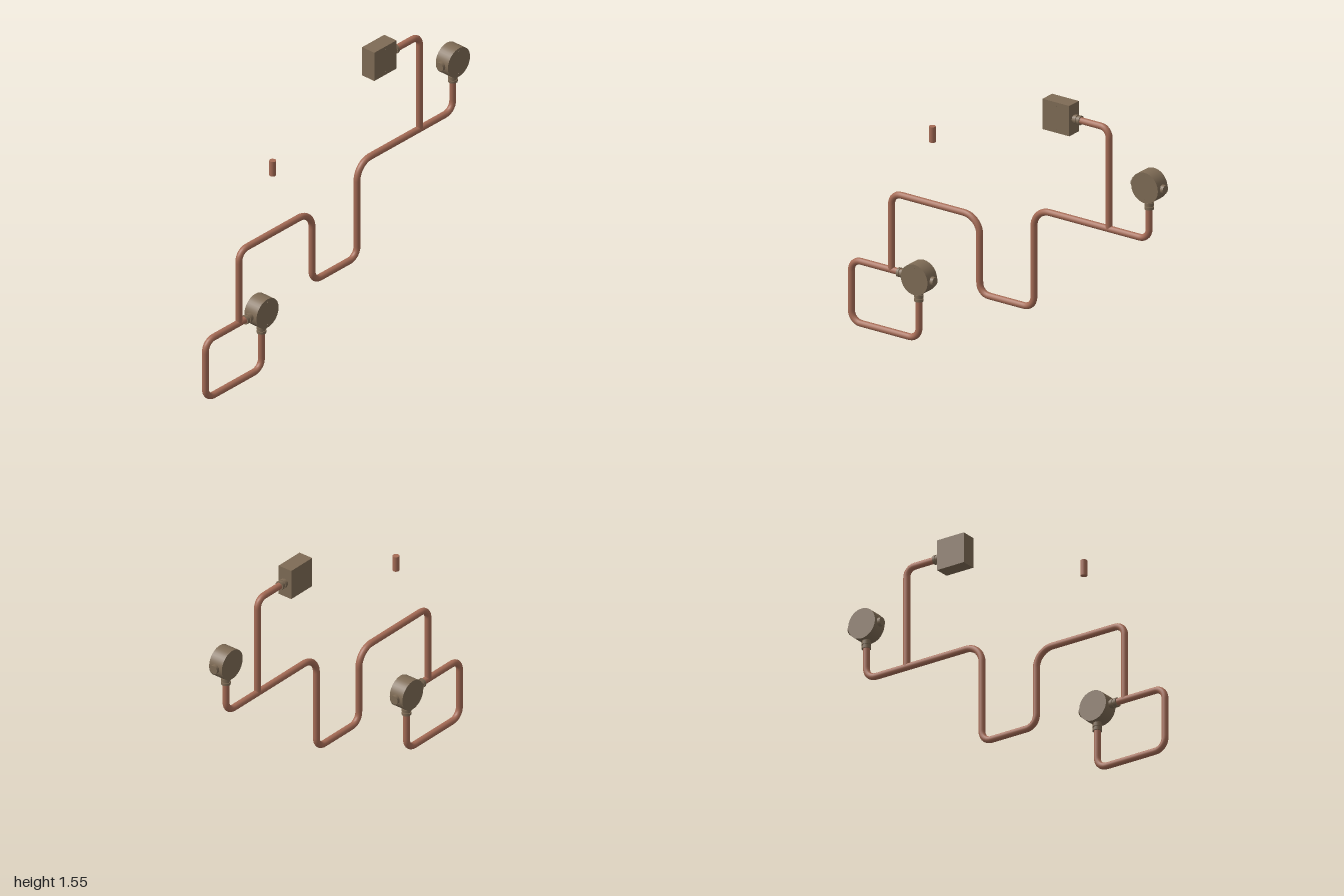
import * as THREE from 'three';

export function createModel() {
  const model = new THREE.Group();
  const copper = new THREE.MeshStandardMaterial({ color: 0xa66c56 });
  copper.name = 'copper';
  const bronze = new THREE.MeshStandardMaterial({ color: 0x7e6b55 });
  bronze.name = 'bronze';
  const R = 0.018;

  const add = (parent, name, geometry, material, x = 0, y = 0, z = 0) => {
    const mesh = new THREE.Mesh(geometry, material);
    mesh.name = name;
    mesh.position.set(x, y, z);
    parent.add(mesh);
    return mesh;
  };

  // Pipe through corner points [x, y, bend radius], with rounded bends
  function pipe(name, points) {
    const path = new THREE.CurvePath();
    const v = points.map(([x, y]) => new THREE.Vector3(x, y, 0));
    let from = v[0];
    for (let i = 1; i < v.length - 1; i++) {
      const r = points[i][2] ?? 0.06;
      const toward = (p) => v[i].clone().add(p.clone().sub(v[i]).setLength(r));
      const a = toward(v[i - 1]), b = toward(v[i + 1]);
      path.add(new THREE.LineCurve3(from, a));
      const k = 0.56;
      path.add(new THREE.CubicBezierCurve3(a, a.clone().lerp(v[i], k), b.clone().lerp(v[i], k), b));
      from = b;
    }
    path.add(new THREE.LineCurve3(from, v[v.length - 1]));
    const segments = Math.ceil(path.getLength() / 0.015);
    add(model, name, new THREE.TubeGeometry(path, segments, R, 14), copper);
  }

  // Stepped coupling that points down, rotated about z for other directions
  function coupling(parent, x, y, angle) {
    const profile = [[0, 0.01], [0.021, 0.01], [0.021, -0.008], [0.025, -0.008], [0.025, -0.022],
      [0.02, -0.022], [0.02, -0.03], [0.025, -0.03], [0.025, -0.044], [0, -0.044]];
    // Doubled corner points keep the steps crisp
    const sharp = profile.flatMap(([r, h]) => [new THREE.Vector2(r, h), new THREE.Vector2(r, h)]).reverse();
    add(parent, 'coupling', new THREE.LatheGeometry(sharp, 16), bronze, x, y).rotation.z = angle;
  }

  // Small screw heads on the front
  function screws(parent, offset) {
    for (const s of [-1, 1])
      add(parent, 'screw', new THREE.CylinderGeometry(0.004, 0.004, 0.004, 8), bronze, 0, s * offset, 0.042)
        .rotation.x = Math.PI / 2;
  }

  // Round junction box with side plugs
  function roundBox(name, x, y, plugSides) {
    const box = new THREE.Group();
    box.name = name;
    box.position.set(x, y, 0);
    add(box, 'roundHousing', new THREE.CylinderGeometry(0.084, 0.084, 0.084, 40), bronze).rotation.x = Math.PI / 2;
    for (const s of plugSides)
      add(box, 'sidePlug', new THREE.CylinderGeometry(0.024, 0.024, 0.03, 16), bronze, s * 0.086, 0)
        .rotation.z = Math.PI / 2;
    coupling(box, 0, -0.085, 0);
    screws(box, 0.066);
    model.add(box);
    return box;
  }

  const lower = roundBox('lowerJunction', -0.555, 0.364, [1]);
  coupling(lower, -0.085, 0, -Math.PI / 2);
  roundBox('upperJunction', 0.896, 1.22, [-1, 1]);

  // Square junction box
  const square = new THREE.Group();
  square.name = 'squareJunction';
  square.position.set(0.338, 1.476, 0);
  add(square, 'squareHousing', new THREE.BoxGeometry(0.168, 0.168, 0.084), bronze);
  coupling(square, 0.085, 0, Math.PI / 2);
  screws(square, 0.066);
  model.add(square);

  // Pipe runs
  pipe('loopPipe', [[-0.66, 0.366], [-0.98, 0.366], [-0.98, 0.023], [-0.555, 0.023], [-0.555, 0.27]]);
  pipe('mainPipe', [[-0.727, 0.366], [-0.727, 0.792], [-0.172, 0.792, 0.1], [-0.172, 0.368],
    [0.169, 0.368], [0.169, 0.92, 0.1], [0.895, 0.92], [0.895, 1.12]]);
  pipe('branchPipe', [[0.642, 0.92], [0.642, 1.476, 0.05], [0.44, 1.476]]);

  // Loose length of pipe
  add(model, 'loosePipe', new THREE.CylinderGeometry(R, R, 0.086, 14), copper, -0.47, 1.178);

  return model;
}
